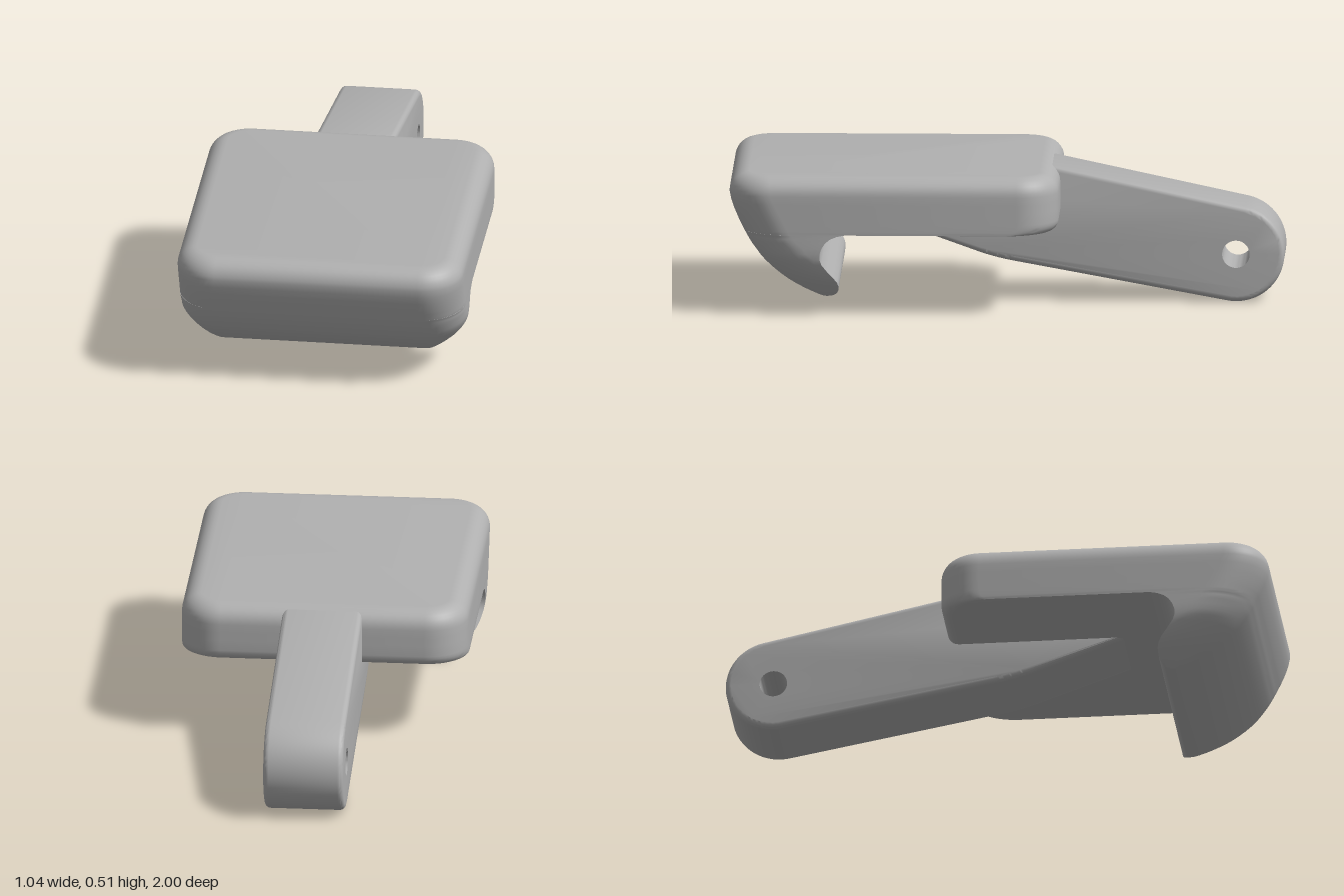
import * as THREE from 'three';
import { toCreasedNormals } from 'three/addons/utils/BufferGeometryUtils.js';

const CORNER = 0.15, HALF = 0.52, TOP = 0.51, FILLET = 0.07;

// Lip profile: height, front z, inner z of the hook
const LIP = [
  [0.055, 0.66, 0.645], [0.06, 0.675, 0.623], [0.072, 0.702, 0.61], [0.085, 0.73, 0.605],
  [0.105, 0.766, 0.604], [0.12, 0.79, 0.609], [0.14, 0.817, 0.623], [0.165, 0.847, 0.645],
  [0.19, 0.873, 0.664], [0.21, 0.89, 0.671], [0.23, 0.904, 0.671], [0.25, 0.919, 0.664],
  [0.27, 0.931, 0.651], [0.285, 0.939, 0.633], [0.295, 0.945, 0.608], [0.3, 0.947, 0.58],
];
// Front edge above the lip
const FRONT = [...LIP.map(([y, z]) => [y, z]), [0.34, 0.967], [0.38, 0.984], [0.41, 0.994], [0.44, 1]];

function frontAt(y) {
  let i = 1;
  while (i < FRONT.length - 1 && FRONT[i][0] < y) i++;
  const [y0, z0] = FRONT[i - 1], [y1, z1] = FRONT[i];
  const slope = (z1 - z0) / (y1 - y0);
  return { z: z0 + slope * (Math.min(y, y1) - y0), stretch: Math.hypot(1, slope) };
}

// One horizontal section: rounded front corners, optional rounded back corners
function section(y, zf, zb, w, rx, rz, rb) {
  const N = 12, half = [];
  const aMax = Math.acos(Math.max(0, 1 - (zf - zb) / rz));
  for (let i = 0; i <= N; i++) {
    const a = aMax * i / N;
    half.push([w - rx + rx * Math.sin(a), y, zf - rz + rz * Math.cos(a)]);
  }
  const xb = half[N][0];
  for (let i = 0; i <= N; i++) {
    const a = Math.PI / 2 * i / N;
    half.push([xb - rb + rb * Math.cos(a), y, zb + rb - rb * Math.sin(a)]);
  }
  return half.concat(half.map(([x, yy, z]) => [-x, yy, z]).reverse());
}

// Skin stacked sections and close both ends
function loft(rings) {
  const n = rings[0].length, pos = rings.flat(2), index = [];
  for (let r = 0; r < rings.length - 1; r++) {
    for (let i = 0; i < n; i++) {
      const j = (i + 1) % n, a = r * n + i, b = r * n + j;
      index.push(a, b, b + n, a, b + n, a + n);
    }
  }
  const last = (rings.length - 1) * n;
  for (let i = 1; i < n - 1; i++) {
    index.push(0, i + 1, i, last, last + i, last + i + 1);
  }
  const g = new THREE.BufferGeometry();
  g.setAttribute('position', new THREE.Float32BufferAttribute(pos, 3));
  g.setIndex(index);
  return toCreasedNormals(g, 0.7);
}

function plateGeometry() {
  const rings = [];
  // Hooked lip, narrowing towards its tip
  for (const [y, zf, zb] of LIP) {
    const k = Math.max(0, (0.25 - y) / 0.2);
    const rx = Math.max(0.002, CORNER * Math.sqrt(Math.max(0, 1 - k * k)));
    rings.push(section(y, zf, zb, HALF - CORNER + rx, rx, CORNER * frontAt(y).stretch, 0));
  }
  // Slab with a small fillet under the back edge
  const under = 0.04, heights = [];
  for (let i = 0; i <= 6; i++) heights.push(0.34 - under * Math.cos(Math.PI / 2 * i / 6));
  heights.push(0.38, 0.41);
  for (const y of heights) {
    const h = Math.max(0, 0.34 - y);
    const e = under - Math.sqrt(Math.max(0, under * under - h * h));
    const f = frontAt(y);
    rings.push(section(y, f.z, -0.19 + e, HALF, CORNER, CORNER * f.stretch, CORNER));
  }
  // Rounded top edge
  for (let i = 0; i <= 8; i++) {
    const a = Math.PI / 2 * i / 8, e = FILLET * (1 - Math.cos(a)), r = CORNER - e;
    rings.push(section(TOP - FILLET + FILLET * Math.sin(a), 1 - e, -0.19 + e, HALF - e, r, r, r));
  }
  return loft(rings);
}

function handleGeometry() {
  const deg = Math.PI / 180, width = 0.29, bevel = 0.02;
  const cz = -0.825, cy = 0.175, hole = 0.05;
  const s = new THREE.Shape();
  s.moveTo(0.48, 0.312);
  s.lineTo(0.3, 0.42);
  s.lineTo(-0.15, 0.499);
  s.absarc(cz, cy, 0.175, 102 * deg, 280 * deg, false);
  s.lineTo(-0.02, 0.145);
  s.quadraticCurveTo(0.04, 0.156, 0.1, 0.176);
  s.lineTo(0.48, 0.312);
  s.holes.push(new THREE.Path().absarc(cz, cy, hole, 0, Math.PI * 2, true));
  const g = new THREE.ExtrudeGeometry(s, {
    depth: width - 2 * bevel, curveSegments: 24, bevelEnabled: true,
    bevelThickness: bevel, bevelSize: bevel, bevelOffset: -bevel, bevelSegments: 4,
  });
  // Keep the pin hole straight through the bevels
  const p = g.attributes.position;
  for (let i = 0; i < p.count; i++) {
    const dx = p.getX(i) - cz, dy = p.getY(i) - cy, d = Math.hypot(dx, dy);
    if (d < 0.09) p.setXY(i, cz + dx / d * hole, cy + dy / d * hole);
  }
  g.translate(0, 0, -(width - 2 * bevel) / 2);
  g.rotateY(-Math.PI / 2);
  return toCreasedNormals(g, 0.6);
}

export function createModel() {
  const grey = new THREE.MeshStandardMaterial({ color: 0xb0b0b0 });
  grey.name = 'grey';
  const group = new THREE.Group();
  group.name = 'hookedLatch';
  const add = (name, geometry) => {
    const mesh = new THREE.Mesh(geometry, grey);
    mesh.name = name;
    group.add(mesh);
  };
  add('hookedPlate', plateGeometry());
  add('handle', handleGeometry());
  return group;
}
